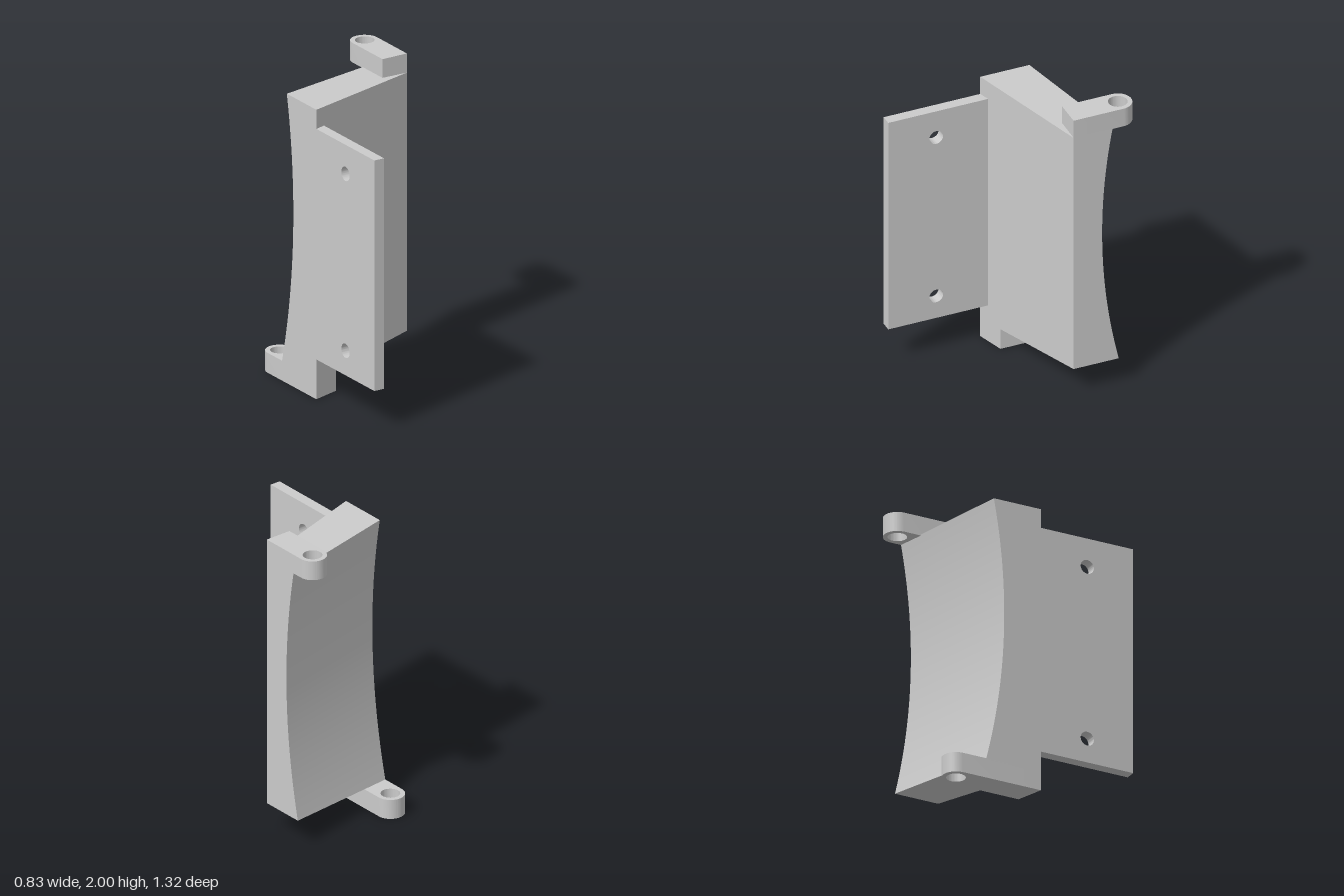
import * as THREE from 'three';
import { toCreasedNormals } from 'three/addons/utils/BufferGeometryUtils.js';

const X0 = -0.415, X1 = 0.415;
const lerp = THREE.MathUtils.lerp;
// Slanted straight front of the body, as z at a given x
const frontZ = (x) => lerp(0.017, -0.24, (x - X0) / (X1 - X0));

export function createModel() {
  const group = new THREE.Group();
  const material = new THREE.MeshStandardMaterial({ color: 0xcccccc });
  const add = (name, geometry) => {
    const mesh = new THREE.Mesh(geometry, material);
    mesh.name = name;
    group.add(mesh);
    return mesh;
  };
  const extrude = (shape, depth) =>
    new THREE.ExtrudeGeometry(shape, { depth, bevelEnabled: false, curveSegments: 28 });
  const hole = (x, y, r) => new THREE.Path().absarc(x, y, r, 0, Math.PI * 2, true);

  // Body: sheared block, hollowed along its height at the back, with a sloping base
  const body = new THREE.BoxGeometry(1, 1, 1, 1, 32, 1);
  const p = body.attributes.position;
  for (let i = 0; i < p.count; i++) {
    const t = p.getX(i) + 0.5;
    const x = lerp(X0, X1, t);
    const y = lerp(lerp(0.13, 0.19, t), lerp(1.89, 1.875, t), p.getY(i) + 0.5);
    const backZ = lerp(-0.238, -0.43, t) - 0.125 * (y - 1.13) ** 2;
    p.setXYZ(i, x, y, p.getZ(i) > 0 ? frontZ(x) : backZ);
  }
  body.computeVertexNormals();
  add('body', body);

  // Side plate with two screw holes, outlined in z and y
  const plate = new THREE.Shape();
  plate.moveTo(-0.02, 0.26).lineTo(0.66, 0.26).lineTo(0.66, 1.765).lineTo(-0.02, 1.765).closePath();
  for (const y of [0.42, 1.575]) plate.holes.push(hole(0.34, y, 0.046));
  const plateGeometry = extrude(plate, 0.07).rotateY(-Math.PI / 2).translate(-0.345, 0, 0);
  add('mountingPlate', toCreasedNormals(plateGeometry, 0.6));

  // Pivot lugs: round-ended arms reaching backwards, with an eye through them
  const addLug = (name, x0, x1, front0, front1, eyeZ, y, height) => {
    const r = (x1 - x0) / 2, cx = (x0 + x1) / 2;
    const shape = new THREE.Shape();
    shape.moveTo(x0, -front0).lineTo(x1, -front1).lineTo(x1, -eyeZ);
    shape.absarc(cx, -eyeZ, r, 0, Math.PI, false);
    shape.closePath();
    shape.holes.push(hole(cx, -eyeZ, 0.06));
    const geometry = extrude(shape, height).rotateX(-Math.PI / 2).translate(0, y, 0);
    add(name, toCreasedNormals(geometry, 0.6));
  };
  addLug('upperLug', 0.237, X1, -0.24, -0.24, -0.573, 1.872, 0.128);
  addLug('lowerLug', X0, -0.235, frontZ(X0), frontZ(-0.235), -0.524, 0, 0.13);

  // Neck closing the gap between the lower lug and the sloping base
  const neck = new THREE.Shape();
  neck.moveTo(X0, -frontZ(X0)).lineTo(-0.235, -frontZ(-0.235)).lineTo(-0.235, 0.37).lineTo(X0, 0.345).closePath();
  add('lowerNeck', extrude(neck, 0.025).rotateX(-Math.PI / 2).translate(0, 0.12, 0));

  return group;
}
